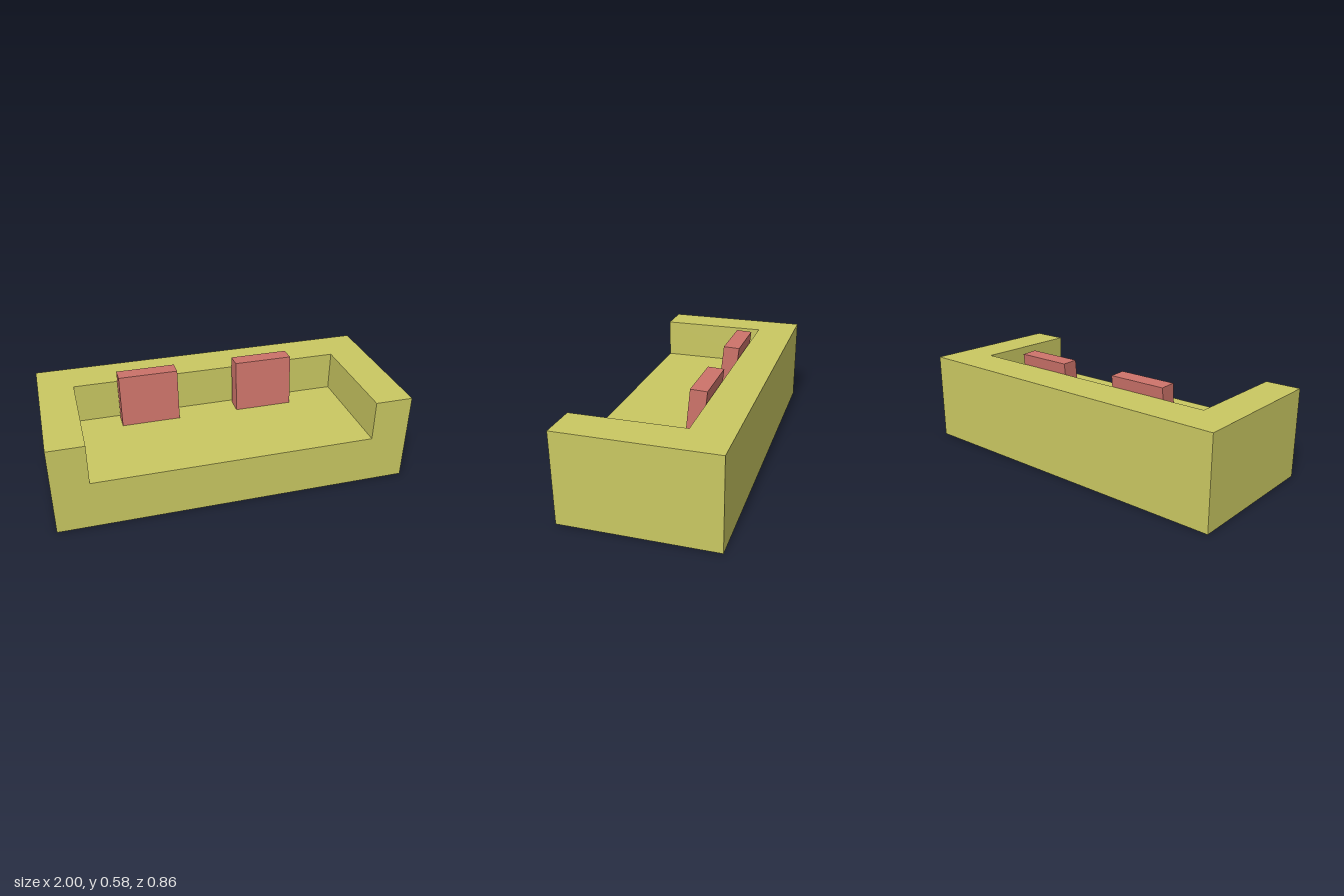
import * as THREE from 'three';

const W = 1, D = 0.43, H = 0.514;        // half width, half depth, height
const SEAT = 0.283, BACK = -0.2;         // seat height, front plane of the backrest
const ARM_R = -0.8, ARM_L = 0.785;       // inner faces of the armrests

const polygon = (points) => new THREE.Shape(points.map(([x, y]) => new THREE.Vector2(x, y)));
const extrude = (points, depth) =>
  new THREE.ExtrudeGeometry(polygon(points), { depth, bevelEnabled: false });

export function createModel() {
  const upholstery = new THREE.MeshStandardMaterial({ name: 'olive upholstery', color: 0xcac862 });
  const fabric = new THREE.MeshStandardMaterial({ name: 'red cushion fabric', color: 0xcd736a });

  const sofa = new THREE.Group();
  sofa.name = 'sofa';
  const add = (name, geometry, material) => {
    const mesh = new THREE.Mesh(geometry, material);
    mesh.name = name;
    sofa.add(mesh);
    return mesh;
  };

  // Solid seat block reaching the floor
  add('seatBase', new THREE.BoxGeometry(2 * W, SEAT, 2 * D), upholstery).position.y = SEAT / 2;

  // Backrest and both armrests as one U-shaped plan, drawn in x and -z
  const surround = extrude([
    [-W, -D], [ARM_R, -D], [ARM_R, -BACK], [ARM_L, -BACK], [ARM_L, -D], [W, -D], [W, D], [-W, D],
  ], H - SEAT);
  surround.rotateX(-Math.PI / 2);
  add('backAndArms', surround, upholstery).position.y = SEAT;

  // Leaning cushions: side profile drawn in -z and y, extruded along x
  const profile = [[0.079, 0.283], [0.172, 0.28], [0.202, 0.576], [0.109, 0.58]];
  for (const [name, x] of [['rightCushion', -0.551], ['leftCushion', 0.139]]) {
    const cushion = extrude(profile, 0.338);
    cushion.rotateY(Math.PI / 2);
    add(name, cushion, fabric).position.x = x;
  }
  return sofa;
}
